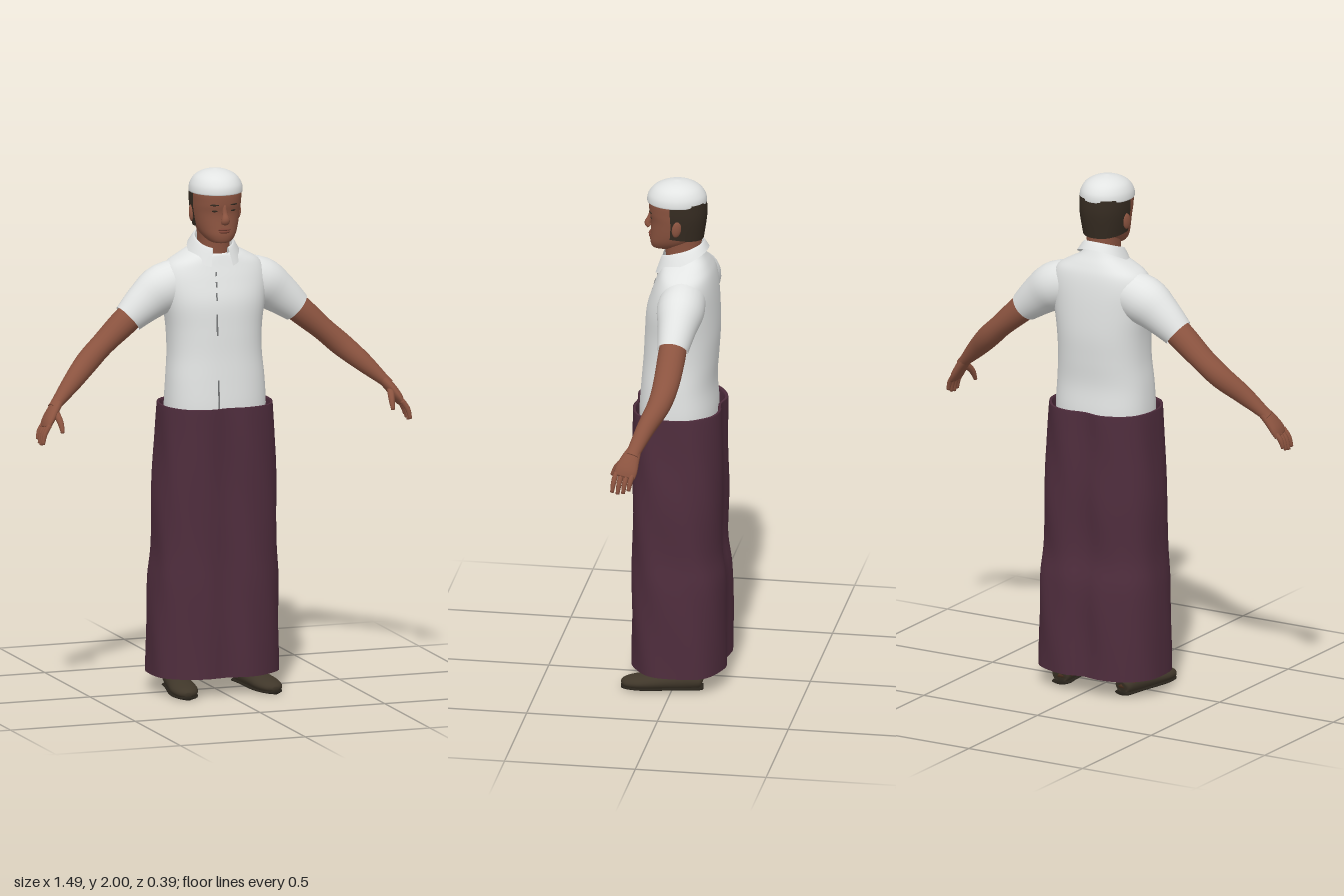
import * as THREE from 'three';

const material = (name, color, side = THREE.FrontSide) => {
  const m = new THREE.MeshStandardMaterial({ color, side });
  m.name = name;
  return m;
};

// Smooth row-by-row interpolation, so a few rows describe a whole form
function resample(rows, steps) {
  const out = [];
  const last = rows.length - 1;
  for (let i = 0; i < last; i++) {
    const [a, b, c, d] = [rows[Math.max(i - 1, 0)], rows[i], rows[i + 1], rows[Math.min(i + 2, last)]];
    for (let k = 0; k < steps; k++) {
      const t = k / steps;
      out.push(b.map((p, n) => p + 0.5 * t * (c[n] - a[n] + t * (2 * a[n] - 5 * p + 4 * c[n] - d[n]
        + t * (3 * (p - c[n]) + d[n] - a[n])))));
    }
  }
  out.push(rows[last]);
  return out;
}

// Skin a list of equal-length rings
function loft(rings, { closed = true, caps = false } = {}) {
  if (caps) {
    const centre = (r) => {
      const c = r.reduce((s, p) => s.add(p), new THREE.Vector3()).divideScalar(r.length);
      return r.map(() => c);
    };
    rings = [centre(rings[0]), ...rings, centre(rings[rings.length - 1])];
  }
  const n = rings[0].length, idx = [];
  for (let i = 0; i < rings.length - 1; i++) {
    for (let j = 0; j < (closed ? n : n - 1); j++) {
      const a = i * n + j, b = i * n + (j + 1) % n;
      idx.push(a, b, b + n, a, b + n, a + n);
    }
  }
  const g = new THREE.BufferGeometry().setFromPoints(rings.flat());
  g.setIndex(idx);
  g.computeVertexNormals();
  return g;
}

const pow = (v, p) => Math.sign(v) * Math.abs(v) ** p;

// Upright form; rows are [y, halfWidth, zFront, zBack, tilt]
function upright(rows, { steps = 5, n = 40, p = 0.9, gap = 0, caps = false, warp } = {}) {
  const rings = resample(rows, steps).map(([y, w, zf, zb, tilt = 0]) => Array.from({ length: n }, (_, j) => {
    const a = gap ? gap + (2 * Math.PI - 2 * gap) * j / (n - 1) : 2 * Math.PI * j / n;
    const c = pow(Math.cos(a), p);
    const v = new THREE.Vector3(w * pow(Math.sin(a), p), y + tilt * Math.cos(a), (zf + zb) / 2 + c * (zf - zb) / 2);
    if (warp) warp(v, a);
    return v;
  }));
  return loft(rings, { closed: !gap, caps });
}

// Limb along a path; rows are [x, y, z, thickness, width], width lying towards ref
function limb(rows, { steps = 4, n = 16, caps = true, ref = [0, 0, 1] } = {}) {
  const r = resample(rows, steps);
  const at = (i) => new THREE.Vector3(...r[Math.min(Math.max(i, 0), r.length - 1)].slice(0, 3));
  const rings = r.map((row, i) => {
    const t = at(i + 1).sub(at(i - 1)).normalize();
    const e2 = new THREE.Vector3(...ref);
    e2.addScaledVector(t, -e2.dot(t)).normalize();
    const e1 = t.clone().cross(e2);
    return Array.from({ length: n }, (_, j) => {
      const a = 2 * Math.PI * j / n;
      return at(i).addScaledVector(e1, row[3] * Math.sin(a)).addScaledVector(e2, row[4] * Math.cos(a));
    });
  });
  return loft(rings, { caps });
}

export function createModel() {
  const model = new THREE.Group();
  model.name = 'standingMan';
  const skin = material('brown skin', 0x8c5440);
  const shirt = material('white cloth', 0xe2e4e3, THREE.DoubleSide);
  const skirtCloth = material('plum cloth', 0x4f2d3d, THREE.DoubleSide);
  const leather = material('dark leather', 0x40372a);
  const soleMat = material('sole', 0x27221a);
  const hairMat = material('dark hair', 0x352b21, THREE.DoubleSide);
  const lipMat = material('lips', 0x7a4335);
  const seamMat = material('grey seam', 0x77797a);
  const sock = material('brown sock', 0x5a3b27);

  const add = (name, geometry, mat, parent = model) => {
    const m = new THREE.Mesh(geometry, mat);
    m.name = name;
    parent.add(m);
    return m;
  };
  const ball = (name, mat, pos, scale) => {
    const m = add(name, new THREE.SphereGeometry(1, 16, 12), mat);
    m.position.set(...pos);
    m.scale.set(...scale);
    return m;
  };

  // Shirt body, open at the neck and hem
  const body = [
    [1.02, 0.19, 0.145, -0.145, 0], [1.10, 0.193, 0.147, -0.147, 0], [1.20, 0.188, 0.14, -0.14, 0],
    [1.30, 0.18, 0.132, -0.147, 0], [1.40, 0.183, 0.127, -0.153, 0], [1.50, 0.198, 0.119, -0.15, 0],
    [1.58, 0.205, 0.095, -0.143, 0], [1.635, 0.185, 0.075, -0.133, 0], [1.668, 0.135, 0.065, -0.118, -0.004],
    [1.69, 0.09, 0.06, -0.1, -0.014], [1.705, 0.068, 0.054, -0.086, -0.025],
  ];
  add('shirtBody', upright(body, { p: 0.85 }), shirt);

  // Collar: stand, fold and pointed outer flaps
  add('collar', upright([
    [1.69, 0.064, 0.06, -0.085, -0.03], [1.729, 0.068, 0.064, -0.09, -0.028],
    [1.722, 0.078, 0.073, -0.097, -0.034], [1.682, 0.1, 0.092, -0.112, -0.05],
  ], { gap: 0.4, steps: 3 }), shirt);

  // Front seam dashes following the chest
  const frontZ = (y) => {
    const i = body.findIndex((r) => r[0] > y);
    const [a, b] = [body[i - 1], body[i]];
    return a[2] + (b[2] - a[2]) * (y - a[0]) / (b[0] - a[0]);
  };
  for (const [x, y0, y1] of [[-0.035, 1.1, 1.21], [-0.035, 1.38, 1.46], [-0.032, 1.51, 1.54],
    [-0.028, 1.56, 1.58], [-0.025, 1.6, 1.615]]) {
    const seam = add('frontSeam', new THREE.BoxGeometry(0.005, y1 - y0, 0.008), seamMat);
    seam.position.set(x, (y0 + y1) / 2, (frontZ(y0) + frontZ(y1)) / 2 - 0.001);
    seam.rotation.x = Math.atan2(frontZ(y1) - frontZ(y0), y1 - y0);
  }

  // Long wrapped skirt with centre dents, soft folds and a turned-in waist
  add('skirt', upright([
    [0.07, 0.252, 0.172, -0.197], [0.25, 0.251, 0.172, -0.197], [0.42, 0.247, 0.172, -0.194],
    [0.55, 0.237, 0.17, -0.178], [0.75, 0.236, 0.17, -0.181], [0.95, 0.223, 0.173, -0.178],
    [1.09, 0.216, 0.175, -0.177], [1.10, 0.213, 0.173, -0.174], [1.095, 0.205, 0.163, -0.164],
    [1.0, 0.205, 0.163, -0.164],
  ], { n: 72, p: 0.78, steps: 6, warp: (v, a) => {
    const fold = 0.004 * Math.sin(5 * a + 6 * v.y) * Math.sin(9 * v.y + 2 * a);
    v.z *= 1 - 0.1 * Math.exp(-((v.x / 0.05) ** 2));
    v.x += fold - 0.006 * (1.1 - v.y);
    v.z += fold * Math.cos(a);
  } }), skirtCloth);

  // Neck and head
  add('neck', upright([[1.6, 0.06, 0.045, -0.078], [1.68, 0.059, 0.05, -0.079], [1.74, 0.06, 0.054, -0.083],
    [1.8, 0.065, 0.06, -0.085]]), skin);
  add('head', upright([
    [1.727, 0.022, 0.093, 0.04], [1.733, 0.043, 0.105, 0.005], [1.757, 0.065, 0.111, -0.05],
    [1.79, 0.079, 0.109, -0.086], [1.84, 0.089, 0.107, -0.098], [1.88, 0.093, 0.114, -0.101],
    [1.93, 0.093, 0.112, -0.098], [1.97, 0.06, 0.08, -0.07],
  ], { caps: true }), skin);
  add('hair', upright([[1.785, 0.083, 0.11, -0.092, 0.012], [1.84, 0.092, 0.11, -0.102, 0],
    [1.88, 0.096, 0.115, -0.105, 0], [1.925, 0.096, 0.115, -0.102, 0]], { gap: 1.45 }), hairMat);
  add('cap', upright([[1.914, 0.096, 0.118, -0.099], [1.918, 0.101, 0.123, -0.104], [1.945, 0.097, 0.118, -0.1],
    [1.973, 0.079, 0.095, -0.079], [1.992, 0.045, 0.055, -0.042], [2.0, 0.004, 0.012, 0.004]],
  { caps: true, p: 1 }), shirt);

  // Face
  add('nose', limb([[0, 1.875, 0.106, 0.008, 0.008], [0, 1.845, 0.112, 0.01, 0.009], [0, 1.82, 0.121, 0.016, 0.013],
    [0, 1.808, 0.114, 0.016, 0.011]]), skin);
  ball('upperLip', lipMat, [0, 1.782, 0.109], [0.026, 0.005, 0.008]);
  ball('lowerLip', lipMat, [0, 1.773, 0.109], [0.022, 0.006, 0.008]);

  for (const s of [1, -1]) {
    const side = s > 0 ? 'left' : 'right';
    const flip = (rows) => rows.map(([x, ...rest]) => [s * x, ...rest]);

    const eye = ball(side + 'Eye', hairMat, [s * 0.035, 1.854, 0.099], [0.013, 0.005, 0.006]);
    eye.rotation.y = s * 0.3;
    const brow = ball(side + 'Brow', hairMat, [s * 0.037, 1.877, 0.103], [0.019, 0.004, 0.006]);
    brow.rotation.y = s * 0.35;
    const ear = ball(side + 'Ear', skin, [s * 0.093, 1.833, -0.004], [0.009, 0.032, 0.018]);
    ear.rotation.set(-0.15, s * 0.3, 0);

    // Short sleeve and bare arm
    add(side + 'Sleeve', limb(flip([[0.08, 1.575, -0.035, 0.085, 0.08], [0.19, 1.545, -0.036, 0.094, 0.09],
      [0.265, 1.497, -0.034, 0.079, 0.073], [0.337, 1.437, -0.03, 0.06, 0.058]]),
    { n: 28, caps: false }), shirt);
    add(side + 'Arm', limb(flip([[0.28, 1.485, -0.032, 0.05, 0.05], [0.35, 1.427, -0.03, 0.052, 0.053],
      [0.44, 1.348, -0.024, 0.044, 0.05], [0.51, 1.285, -0.008, 0.044, 0.044], [0.585, 1.218, 0.03, 0.036, 0.035],
      [0.655, 1.152, 0.062, 0.022, 0.027], [0.672, 1.135, 0.069, 0.021, 0.028]]), { n: 20 }), skin);

    // Hand, four fingers and thumb
    add(side + 'Palm', limb(flip([[0.65, 1.157, 0.06, 0.02, 0.026], [0.676, 1.125, 0.074, 0.02, 0.036],
      [0.7, 1.09, 0.085, 0.018, 0.043], [0.713, 1.065, 0.091, 0.012, 0.04]])), skin);
    for (let k = 0; k < 4; k++) {
      const z = 0.06 + 0.021 * k, len = [0.8, 0.95, 1, 0.92][k];
      add(side + 'Finger', limb(flip([[0.706, 1.08, z, 0.01, 0.01],
        [0.727, 1.08 - 0.035 * len, z + 0.006, 0.01, 0.01],
        [0.736, 1.08 - 0.076 * len, z + 0.011, 0.007, 0.007]]), { n: 8 }), skin);
    }
    add(side + 'Thumb', limb(flip([[0.672, 1.125, 0.088, 0.014, 0.014], [0.664, 1.09, 0.125, 0.012, 0.012],
      [0.662, 1.052, 0.146, 0.007, 0.007]]), { n: 10 }), skin);

    // Lower leg and sock inside the skirt
    add(side + 'Leg', limb(flip([[0.138, 0.2, -0.065, 0.042, 0.05], [0.13, 0.4, -0.06, 0.055, 0.06],
      [0.12, 0.6, -0.02, 0.06, 0.065], [0.11, 0.95, 0, 0.085, 0.09]])), skin);
    add(side + 'Sock', limb(flip([[0.138, 0.03, -0.068, 0.04, 0.045], [0.138, 0.1, -0.07, 0.043, 0.05],
      [0.138, 0.22, -0.065, 0.047, 0.055]])), sock);

    // Shoe with a flat sole, toes turned out a little
    const shoe = new THREE.Group();
    shoe.name = side + 'Shoe';
    shoe.position.x = s * 0.15;
    shoe.rotation.y = s * 0.13;
    model.add(shoe);
    const up = { ref: [0, 1, 0], n: 24 };
    const upper = limb([[0, 0.034, -0.112, 0.02, 0.022], [0, 0.036, -0.1, 0.036, 0.032], [0, 0.036, -0.04, 0.041, 0.038],
      [0, 0.032, 0.04, 0.047, 0.034], [0, 0.027, 0.12, 0.052, 0.028], [0, 0.023, 0.175, 0.037, 0.02],
      [0, 0.02, 0.194, 0.012, 0.009]], up);
    const pos = upper.attributes.position;
    for (let i = 0; i < pos.count; i++) pos.setY(i, Math.max(pos.getY(i), 0.004));
    upper.computeVertexNormals();
    add(side + 'ShoeUpper', upper, leather, shoe);
    add(side + 'ShoeSole', limb([[0, 0.007, -0.115, 0.024, 0.007], [0, 0.007, -0.1, 0.038, 0.007],
      [0, 0.007, -0.03, 0.041, 0.007], [0, 0.007, 0.1, 0.053, 0.007], [0, 0.007, 0.17, 0.04, 0.007],
      [0, 0.007, 0.196, 0.012, 0.007]], up), soleMat, shoe);
  }
  return model;
}
